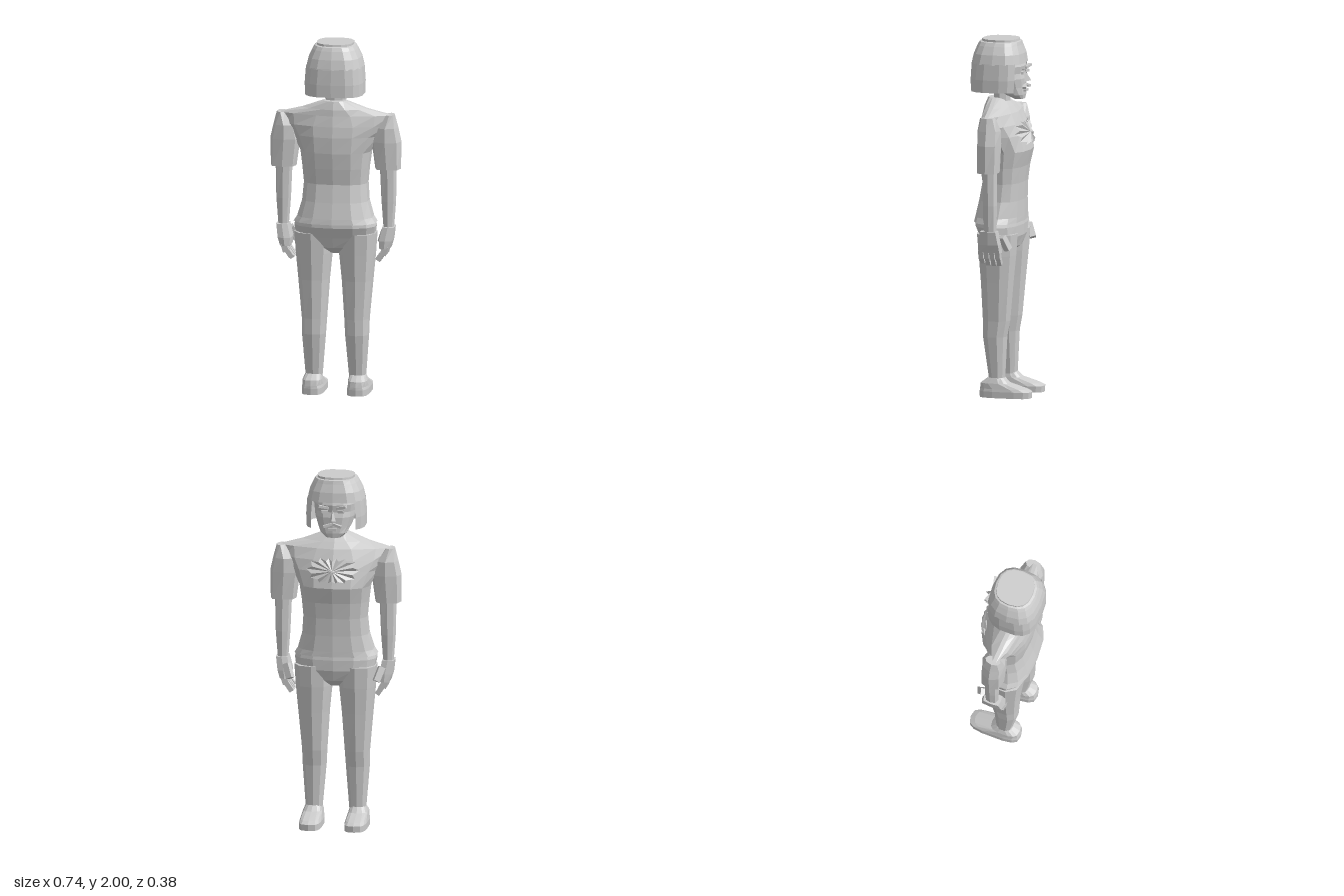
import * as THREE from 'three';

const grey = new THREE.MeshStandardMaterial({ color: 0xcccccc, side: THREE.DoubleSide });
grey.name = 'plainGrey';

export function createModel() {
  const root = new THREE.Group();
  root.name = 'standingFigure';

  function add(name, geometry, parent = root) {
    const flat = geometry.index ? geometry.toNonIndexed() : geometry;
    flat.computeVertexNormals();
    const mesh = new THREE.Mesh(flat, grey);
    mesh.name = name;
    parent.add(mesh);
    return mesh;
  }

  function surface(points, index) {
    const g = new THREE.BufferGeometry();
    g.setAttribute('position', new THREE.Float32BufferAttribute(points, 3));
    g.setIndex(index);
    return g;
  }

  // Rings from bottom to top: [y, x0, x1, z0, z1, roundness]; gap leaves an opening at -z
  function loft(rings, n = 12, gap = 0) {
    const pts = [], idx = [];
    const cols = gap ? n + 1 : n;
    const bend = (v, p) => Math.sign(v) * Math.abs(v) ** (2 / p);
    for (const [y, x0, x1, z0, z1, p = 2.4] of rings) {
      for (let j = 0; j < cols; j++) {
        const t = -Math.PI / 2 + gap + (j / n) * (Math.PI * 2 - gap * 2);
        pts.push((x0 + x1) / 2 + (x1 - x0) / 2 * bend(Math.cos(t), p), y,
          (z0 + z1) / 2 + (z1 - z0) / 2 * bend(Math.sin(t), p));
      }
    }
    for (let i = 0; i < rings.length - 1; i++) {
      for (let j = 0; j < n; j++) {
        const a = i * cols + j, b = i * cols + (j + 1) % cols;
        idx.push(a, a + cols, b, b, a + cols, b + cols);
      }
    }
    if (!gap) {
      [0, rings.length - 1].forEach((r, top) => {
        const [y, x0, x1, z0, z1] = rings[r], c = pts.length / 3;
        pts.push((x0 + x1) / 2, y, (z0 + z1) / 2);
        for (let j = 0; j < n; j++) {
          const a = r * n + j, b = r * n + (j + 1) % n;
          if (top) idx.push(c, b, a); else idx.push(c, a, b);
        }
      });
    }
    return surface(pts, idx);
  }

  // Same rings, centred on x = 0: [y, halfWidth, z0, z1, roundness]
  const wide = (rings) => rings.map(([y, w, ...rest]) => [y, -w, w, ...rest]);
  // Same rings on the chosen side
  const sided = (rings, s) => rings.map(([y, a, b, ...rest]) =>
    s > 0 ? [y, a, b, ...rest] : [y, -b, -a, ...rest]);

  function box(name, size, pos, rot = [0, 0, 0], parent = root) {
    const m = add(name, new THREE.BoxGeometry(...size), parent);
    m.position.set(...pos);
    m.rotation.set(...rot);
    return m;
  }

  // Shirt body, from hem to collar
  add('shirt', loft(wide([
    [0.98, 0.235, -0.107, 0.16, 2.5], [1.01, 0.215, -0.107, 0.155, 2.5],
    [1.1, 0.188, -0.106, 0.135, 2.6], [1.2, 0.18, -0.11, 0.117, 2.6],
    [1.29, 0.188, -0.122, 0.13, 2.6], [1.38, 0.2, -0.145, 0.14, 2.5],
    [1.47, 0.25, -0.125, 0.14, 2], [1.53, 0.3, -0.1, 0.132, 1.7],
    [1.59, 0.33, -0.073, 0.12, 1.35], [1.625, 0.19, -0.045, 0.115, 1.6],
    [1.67, 0.065, -0.005, 0.1, 2],
  ]), 14));

  // Crumpled cloth on the chest
  const foldPts = [0, 1.48, -0.145], foldIdx = [], folds = 28;
  for (let i = 0; i < folds; i++) {
    const t = (i / folds) * Math.PI * 2;
    const r = (i % 2 ? 0.8 : 1) * (0.8 + 0.2 * Math.cos(2 * t));
    const x = 0.15 * r * Math.cos(t), y = 0.11 * r * Math.sin(t);
    foldPts.push(x, 1.48 + y, -0.128 + x * x * 1.5 + y * 0.3 - (i % 2 ? 0.015 : 0));
    foldIdx.push(0, 1 + (i + 1) % folds, 1 + i);
  }
  add('chestFolds', surface(foldPts, foldIdx));

  // Trouser seat
  add('trouserSeat', loft(wide([
    [0.8, 0.04, -0.03, 0.05], [0.84, 0.13, -0.085, 0.11],
    [0.9, 0.222, -0.103, 0.13], [0.96, 0.232, -0.104, 0.155], [0.985, 0.225, -0.1, 0.155],
  ]), 14));

  for (const s of [-1, 1]) {
    const side = s > 0 ? 'left' : 'right';

    // Leg and shoe
    add(side + 'TrouserLeg', loft(sided([
      [0.1, 0.075, 0.17, -0.03, 0.06], [0.34, 0.055, 0.188, -0.043, 0.096],
      [0.43, 0.05, 0.19, -0.06, 0.098], [0.65, 0.035, 0.21, -0.08, 0.108],
      [0.8, 0.02, 0.224, -0.095, 0.12], [0.92, 0.015, 0.232, -0.103, 0.13],
    ], s), 10));
    add(side + 'Shoe', loft(sided([
      [0, 0.065, 0.19, -0.186, 0.112, 3.4], [0.035, 0.065, 0.19, -0.188, 0.113, 3.4],
      [0.05, 0.068, 0.187, -0.16, 0.112, 3], [0.08, 0.073, 0.182, -0.06, 0.105, 3],
      [0.11, 0.08, 0.17, -0.03, 0.065, 2.4],
    ], s), 14));

    // Sleeve and forearm
    add(side + 'Sleeve', loft(sided([
      [1.285, 0.222, 0.367, -0.047, 0.077, 3], [1.44, 0.2, 0.37, -0.055, 0.082, 2.4],
      [1.52, 0.22, 0.352, -0.055, 0.08, 2.2], [1.592, 0.28, 0.333, -0.03, 0.06, 2],
    ], s), 8));
    add(side + 'Forearm', loft(sided([
      [0.93, 0.268, 0.325, -0.03, 0.042], [1.1, 0.255, 0.338, -0.036, 0.047],
      [1.3, 0.246, 0.342, -0.035, 0.047],
    ], s), 8));

    // Hand with four fingers and a thumb
    const hand = new THREE.Group();
    hand.name = side + 'Hand';
    root.add(hand);
    add('palm', loft(sided([
      [0.835, 0.25, 0.31, -0.06, 0.078, 5], [0.88, 0.245, 0.325, -0.055, 0.077, 5],
      [0.955, 0.262, 0.335, -0.04, 0.06, 5],
    ], s), 8), hand);
    for (let i = 0; i < 4; i++) {
      const z = 0.06 - i * 0.032, drop = i === 0 ? 0.012 : 0;
      box('fingerBase', [0.034, 0.05, 0.027], [s * 0.28, 0.825, z], [0, 0, -s * 0.3], hand);
      box('fingerTip', [0.028, 0.055 - drop, 0.025], [s * 0.255, 0.785 + drop / 2, z], [0, 0, -s * 0.6], hand);
    }
    box('thumb', [0.036, 0.085, 0.034], [s * 0.255, 0.885, -0.07], [0.25, -s * 0.4, -s * 0.35], hand);

    // Eye, brow, cheek and moustache half
    box('eye', [0.036, 0.014, 0.012], [s * 0.046, 1.815, -0.108], [0, s * 0.25, 0]);
    box('brow', [0.058, 0.013, 0.022], [s * 0.05, 1.84, -0.11], [0, s * 0.25, s * 0.2]);
    box('moustache', [0.052, 0.013, 0.02], [s * 0.026, 1.738, -0.116], [0, s * 0.2, -s * 0.3]);
  }

  // Neck, head and face
  add('neck', loft(wide([[1.62, 0.062, -0.025, 0.07], [1.74, 0.055, -0.025, 0.065]]), 8));
  add('head', loft(wide([
    [1.665, 0.042, -0.108, -0.05], [1.69, 0.075, -0.112, 0.0],
    [1.73, 0.095, -0.112, 0.08], [1.78, 0.112, -0.114, 0.12],
    [1.81, 0.116, -0.106, 0.13], [1.85, 0.12, -0.112, 0.135], [1.92, 0.11, -0.09, 0.13],
  ]), 14));
  add('nose', surface([
    0, 1.825, -0.108, -0.02, 1.76, -0.108, 0.02, 1.76, -0.108, 0, 1.768, -0.147,
  ], [0, 3, 1, 0, 2, 3, 1, 3, 2]));
  box('lowerLip', [0.05, 0.012, 0.018], [0, 1.713, -0.113]);

  // Bobbed hair: closed crown above, open around the face below
  add('hairCrown', loft(wide([
    [1.865, 0.161, -0.112, 0.184, 2.8], [1.92, 0.148, -0.105, 0.172, 2.7],
    [1.965, 0.126, -0.09, 0.155, 2.6], [1.985, 0.114, -0.085, 0.145, 2.5],
    [1.988, 0.104, -0.075, 0.132, 2.5], [2.0, 0.104, -0.073, 0.13, 2.5],
  ]), 16));
  add('hairSides', loft(wide([
    [1.71, 0.165, -0.105, 0.186, 3], [1.78, 0.166, -0.112, 0.187, 3],
    [1.87, 0.16, -0.114, 0.183, 2.8],
  ]), 14, 0.72));

  return root;
}
